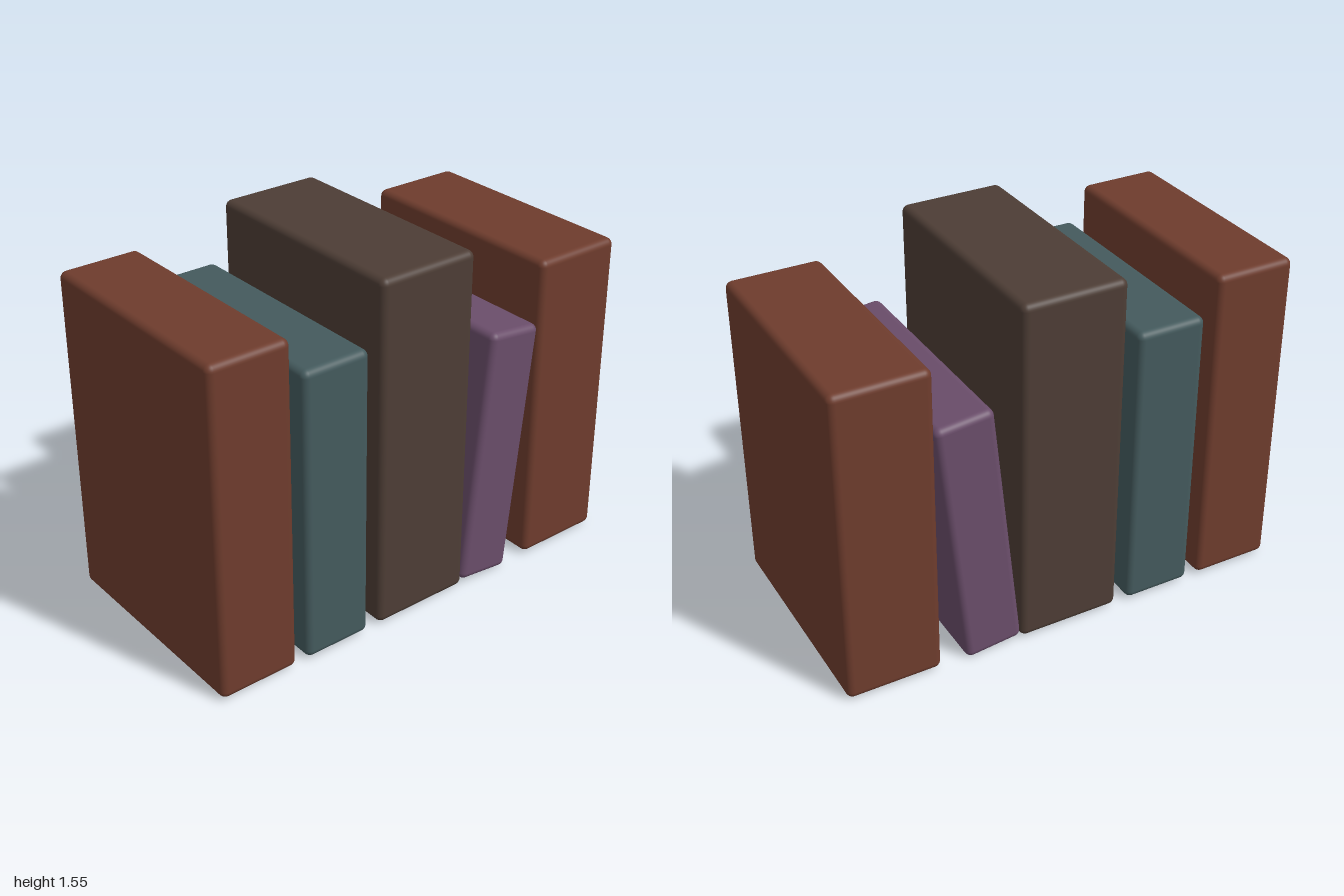
import * as THREE from 'three';
import { RoundedBoxGeometry } from 'three/addons/geometries/RoundedBoxGeometry.js';

const DEPTH = 1.02, BASE = 0.01, RADIUS = 0.03;

export function createModel() {
  const group = new THREE.Group();
  group.name = 'bookRow';

  const material = (name, color) => {
    const m = new THREE.MeshStandardMaterial({ color });
    m.name = name;
    return m;
  };
  const russet = material('russet', 0x6e3c2d);
  const teal = material('teal', 0x445a5d);
  const umber = material('umber', 0x4d3d35);
  const plum = material('plum', 0x6a4d6a);

  // One soft-edged book block
  const book = (name, mat, width, height, x, y, tilt = 0) => {
    const mesh = new THREE.Mesh(new RoundedBoxGeometry(width, height, DEPTH, 4, RADIUS), mat);
    mesh.name = name;
    mesh.position.set(x, y, 0);
    mesh.rotation.z = tilt;
    group.add(mesh);
  };

  // Upright books: left edge, right edge, top
  const uprights = [
    ['farRightBook', russet, -1.0, -0.645, 1.447],
    ['tealBook', teal, -0.593, -0.287, 1.291],
    ['tallBook', umber, -0.23, 0.226, 1.547],
    ['farLeftBook', russet, 0.59, 1.0, 1.393],
  ];
  for (const [name, mat, x0, x1, top] of uprights) {
    book(name, mat, x1 - x0, top - BASE, (x0 + x1) / 2, (top + BASE) / 2);
  }

  // Short book leaning on its neighbour
  book('leaningBook', plum, 0.253, 1.133, 0.408, 0.574, -0.105);

  return group;
}
